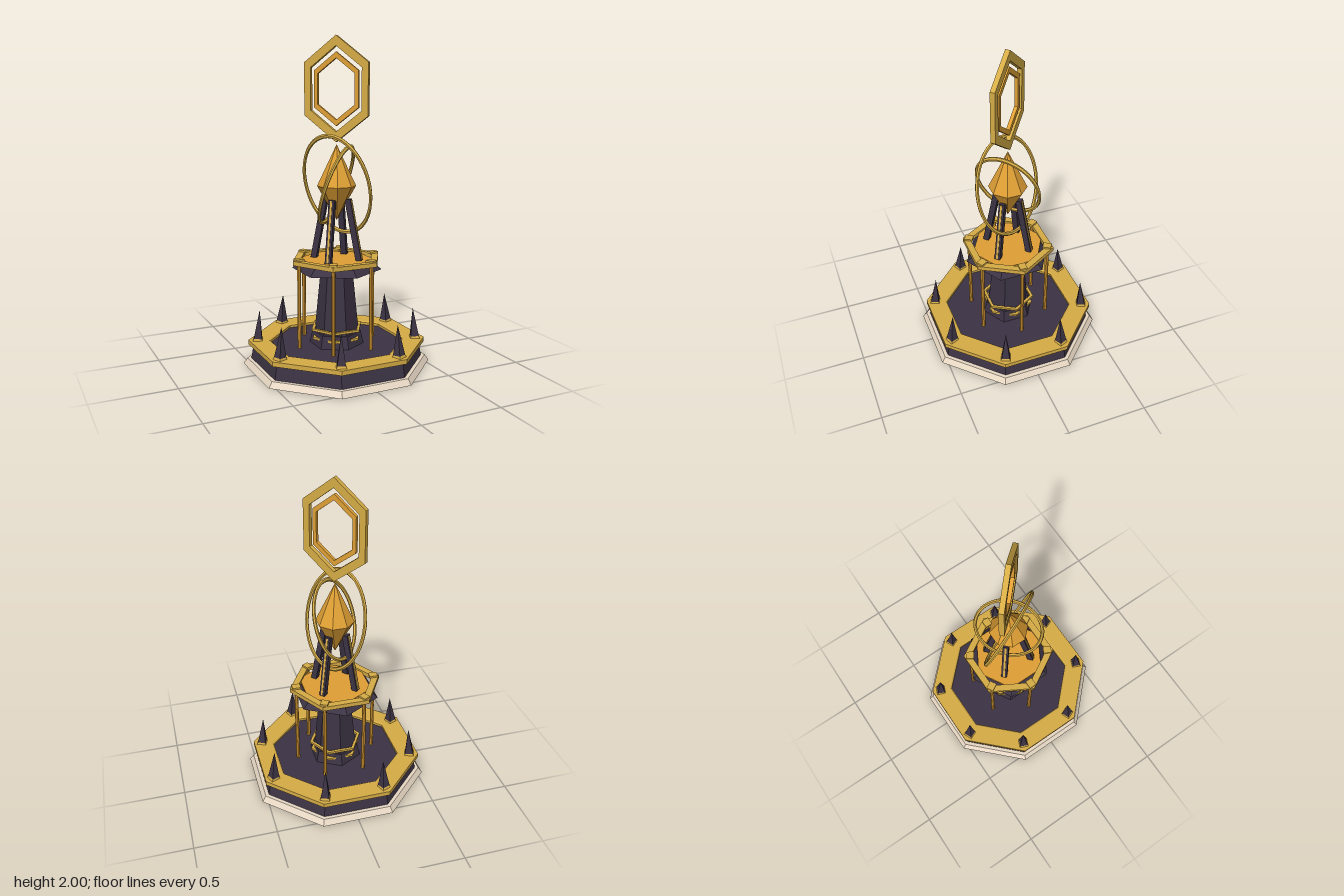
import * as THREE from 'three';

const mat = (color) => new THREE.MeshStandardMaterial({ color, flatShading: true });
const GOLD = mat(0xd6ac46), AMBER = mat(0xe0a035), DARK = mat(0x3c3344), STONE = mat(0xe8d8c4);
const OCT = Math.cos(Math.PI / 8);

export function createModel() {
  const model = new THREE.Group();

  const add = (name, geometry, material, parent = model) => {
    const mesh = new THREE.Mesh(geometry, material);
    mesh.name = name;
    parent.add(mesh);
    return mesh;
  };
  // Solid n-sided frustum from y0 to y1
  const prism = (name, n, rBottom, rTop, y0, y1, material, turn = 0) => {
    const m = add(name, new THREE.CylinderGeometry(rTop, rBottom, y1 - y0, n), material);
    m.position.y = (y0 + y1) / 2;
    m.rotation.y = turn;
    return m;
  };
  // Hollow n-sided ring; profile runs counter-clockwise in (radius, y)
  const ring = (name, n, profile, material, turn = 0) => {
    const pts = [...profile, profile[0]].map(([r, y]) => new THREE.Vector2(r, y));
    const m = add(name, new THREE.LatheGeometry(pts, n), material);
    m.rotation.y = turn;
    return m;
  };

  // Stepped octagonal base
  const t8 = Math.PI / 8, t6 = Math.PI / 6;
  prism('stoneFoot', 8, 0.535 / OCT, 0.512 / OCT, 0, 0.035, STONE, t8);
  prism('baseBody', 8, 0.49 / OCT, 0.475 / OCT, 0.035, 0.128, DARK, t8);
  ring('baseRim', 8, [
    [0.38 / OCT, 0.122], [0.505 / OCT, 0.122], [0.505 / OCT, 0.15], [0.39 / OCT, 0.15], [0.38 / OCT, 0.143],
  ], GOLD, t8);

  // Spikes with collars on the rim corners, leaning slightly inward
  for (let i = 0; i < 8; i++) {
    const spike = new THREE.Group();
    spike.name = 'rimSpike';
    spike.rotation.y = t8 + i * Math.PI / 4;
    const holder = new THREE.Group();
    holder.position.set(0, 0.15, 0.488);
    holder.rotation.x = -0.07;
    spike.add(holder);
    const cone = add('spikePoint', new THREE.ConeGeometry(0.038, 0.19, 4), DARK, holder);
    cone.position.y = 0.095;
    cone.rotation.y = Math.PI / 4;
    const collar = add('spikeCollar', new THREE.CylinderGeometry(0.033, 0.042, 0.02, 4), GOLD, holder);
    collar.position.y = 0.008;
    collar.rotation.y = Math.PI / 4;
    model.add(spike);
  }

  // Central column with plinth, bands and flared capital
  prism('columnPlinth', 6, 0.168, 0.15, 0.125, 0.205, DARK);
  prism('column', 6, 0.137, 0.095, 0.2, 0.62, DARK);
  prism('columnCapital', 6, 0.275, 0.215, 0.598, 0.648, DARK);
  for (const [r, y] of [[0.16, 0.175], [0.168, 0.23]]) {
    ring('columnBand', 6, [[r - 0.02, y - 0.007], [r, y - 0.007], [r, y + 0.007], [r - 0.02, y + 0.007]], GOLD, t6);
  }

  // Hexagonal platform
  prism('platformFloor', 6, 0.232, 0.232, 0.645, 0.66, AMBER);
  ring('platformRim', 6, [[0.243, 0.645], [0.29, 0.645], [0.29, 0.672], [0.243, 0.672]], GOLD, t6);

  // Posts and caps under and on the platform corners
  for (let i = 0; i < 6; i++) {
    const post = new THREE.Group();
    post.name = 'platformPost';
    post.rotation.y = t6 + i * Math.PI / 3;
    add('postShaft', new THREE.CylinderGeometry(0.012, 0.012, 0.53, 8), AMBER, post).position.set(0, 0.39, 0.25);
    add('postCap', new THREE.BoxGeometry(0.046, 0.016, 0.052), GOLD, post).position.set(0, 0.675, 0.25);
    model.add(post);
  }

  // Four leaning struts with a gold inlay on the outer face
  for (let i = 0; i < 4; i++) {
    const strut = new THREE.Group();
    strut.name = 'crystalStrut';
    strut.rotation.y = Math.PI / 4 + i * Math.PI / 2;
    const arm = new THREE.Group();
    arm.position.set(0, 0.845, 0.11);
    arm.rotation.x = -0.19;
    add('strutBeam', new THREE.BoxGeometry(0.036, 0.38, 0.036), DARK, arm);
    add('strutInlay', new THREE.BoxGeometry(0.012, 0.37, 0.006), GOLD, arm).position.z = 0.019;
    strut.add(arm);
    model.add(strut);
  }

  // Floating faceted crystal
  prism('crystalTop', 8, 0.118, 0, 1.11, 1.36, AMBER, t8);
  prism('crystalBottom', 8, 0, 0.118, 0.9, 1.11, AMBER, t8);

  // Two tilted rings stretched vertically around the crystal
  const orbits = new THREE.Group();
  orbits.name = 'orbitRings';
  orbits.position.y = 1.115;
  orbits.scale.y = 1.27;
  for (const [r, n] of [[0.247, [0.85, 0.307, -0.42]], [0.202, [0.645, -0.41, 0.645]]]) {
    const orbit = add('orbitRing', new THREE.TorusGeometry(r, 0.011, 6, 56), GOLD, orbits);
    orbit.quaternion.setFromUnitVectors(new THREE.Vector3(0, 0, 1), new THREE.Vector3(...n).normalize());
  }
  model.add(orbits);

  // Nested hexagonal frames at the top, set diagonally
  const hexPath = (path, w, h) => path.setFromPoints(
    [[0, h], [-w, h / 2], [-w, -h / 2], [0, -h], [w, -h / 2], [w, h / 2], [0, h]].map(([x, y]) => new THREE.Vector2(x, y)));
  const emblem = new THREE.Group();
  emblem.name = 'topFrames';
  emblem.position.y = 1.687;
  emblem.rotation.y = -Math.PI / 4;
  const frame = (name, w, h, wIn, hIn, depth, material) => {
    const shape = hexPath(new THREE.Shape(), w, h);
    shape.holes.push(hexPath(new THREE.Path(), wIn, hIn));
    const geo = new THREE.ExtrudeGeometry(shape, { depth, bevelEnabled: false });
    geo.translate(0, 0, -depth / 2);
    add(name, geo, material, emblem);
  };
  frame('outerFrame', 0.2, 0.313, 0.16, 0.252, 0.03, GOLD);
  frame('innerFrame', 0.139, 0.217, 0.116, 0.181, 0.022, AMBER);
  model.add(emblem);

  return model;
}
